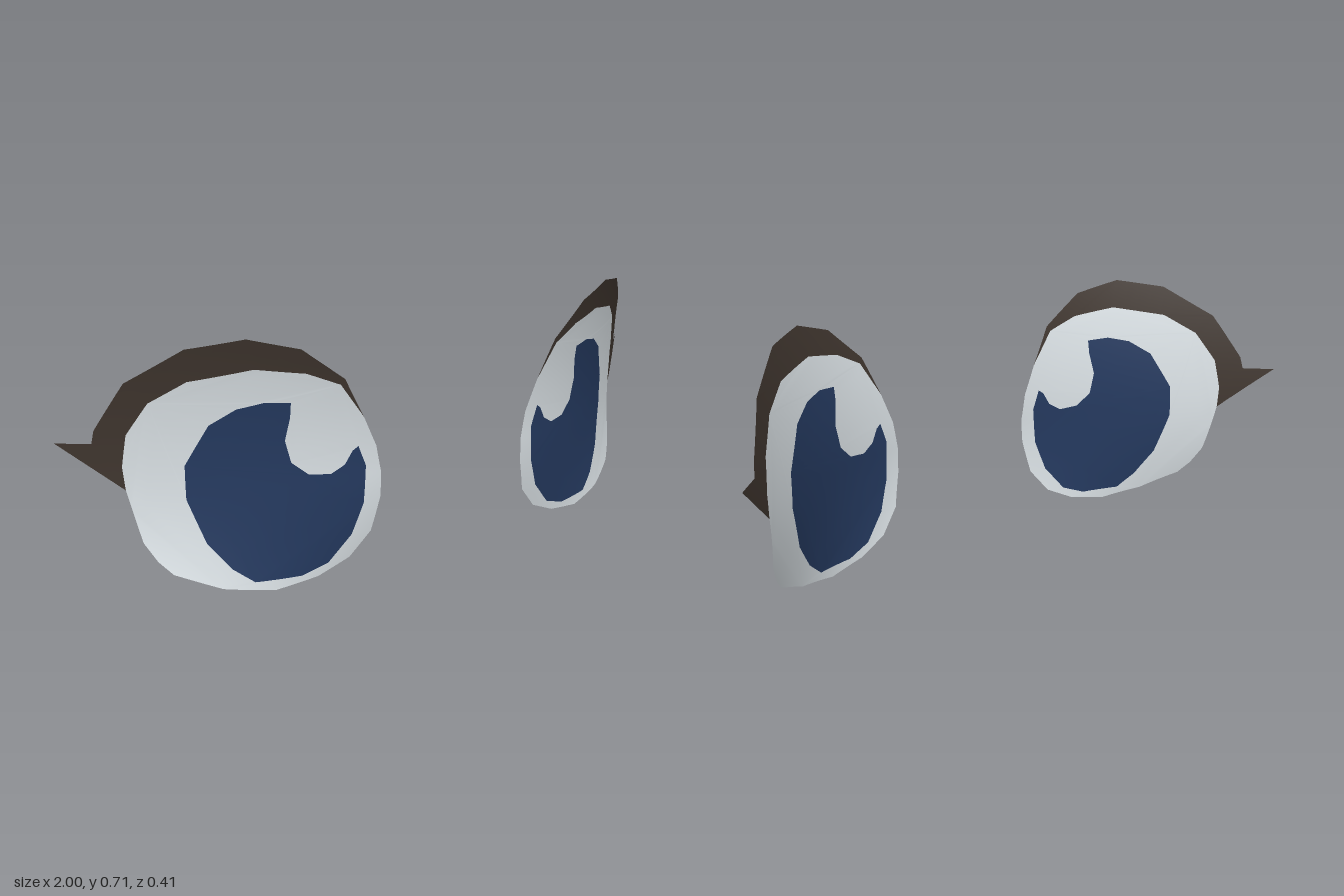
import * as THREE from 'three';
import { mergeVertices } from 'three/addons/utils/BufferGeometryUtils.js';

const mat = (name, color) => {
  const m = new THREE.MeshStandardMaterial({ color, side: THREE.DoubleSide });
  m.name = name;
  return m;
};

// Front outlines of the left eye as [x, y]
const whiteTop = [[0.30, 0.47], [0.37, 0.57], [0.46, 0.61], [0.585, 0.63], [0.73, 0.60],
  [0.81, 0.54], [0.855, 0.45], [0.865, 0.36], [0.86, 0.295]];
const whiteBottom = [[0.85, 0.24], [0.835, 0.15], [0.81, 0.10], [0.78, 0.065], [0.67, 0.02], [0.54, 0],
  [0.42, 0.02], [0.33, 0.06], [0.27, 0.13], [0.247, 0.23], [0.245, 0.30], [0.26, 0.38]];
const lashTop = [[1.0, 0.42], [0.925, 0.423], [0.92, 0.46], [0.86, 0.595], [0.74, 0.69],
  [0.61, 0.715], [0.48, 0.68], [0.36, 0.585]];
const irisEdge = [[0.493, 0.53], [0.557, 0.535], [0.62, 0.52], [0.68, 0.477], [0.733, 0.365],
  [0.733, 0.27], [0.696, 0.147], [0.643, 0.072], [0.59, 0.03], [0.467, 0.03], [0.392, 0.056],
  [0.328, 0.13], [0.296, 0.22], [0.29, 0.328], [0.312, 0.387], [0.328, 0.376], [0.349, 0.339],
  [0.387, 0.317], [0.445, 0.323], [0.488, 0.36], [0.504, 0.424], [0.493, 0.488]];

// Depth of the curved sheet: wraps back to the side, slightly dished at mid height
function depth(x, y) {
  const u = x - 0.245, v = (y - 0.3) ** 2;
  return 0.195 - 0.125 * u - 0.553 * u * u + v * (y > 0.3 ? 0.36 : 2 * (x - 0.5));
}

// Fill an outline, divide its triangles and bend them onto the sheet
function bentSheet(outline, hole, side) {
  const toPoints = list => list.map(p => new THREE.Vector2(...p));
  const shape = new THREE.Shape(toPoints(outline));
  if (hole) shape.holes.push(new THREE.Path(toPoints(hole)));
  const flat = new THREE.ShapeGeometry(shape).toNonIndexed().getAttribute('position');
  const out = [];
  const split = (a, b, c, level) => {
    if (level === 0) {
      for (const p of side > 0 ? [a, b, c] : [a, c, b]) out.push(side * p.x, p.y, depth(p.x, p.y));
      return;
    }
    const ab = a.clone().lerp(b, 0.5), bc = b.clone().lerp(c, 0.5), ca = c.clone().lerp(a, 0.5);
    split(a, ab, ca, level - 1);
    split(ab, b, bc, level - 1);
    split(ca, bc, c, level - 1);
    split(ab, bc, ca, level - 1);
  };
  const corner = i => new THREE.Vector2(flat.getX(i), flat.getY(i));
  for (let i = 0; i < flat.count; i += 3) split(corner(i), corner(i + 1), corner(i + 2), 3);
  const geo = new THREE.BufferGeometry();
  geo.setAttribute('position', new THREE.Float32BufferAttribute(out, 3));
  const merged = mergeVertices(geo, 1e-5);
  merged.computeVertexNormals();
  return merged;
}

export function createModel() {
  const model = new THREE.Group();
  model.name = 'eyes';
  const white = mat('eyeWhite', 0xdde4e8);
  const navy = mat('irisNavy', 0x253a60);
  const brown = mat('lashBrown', 0x40362f);

  for (const side of [1, -1]) {
    const eye = new THREE.Group();
    eye.name = side > 0 ? 'leftEye' : 'rightEye';
    const add = (name, outline, hole, material) => {
      const mesh = new THREE.Mesh(bentSheet(outline, hole, side), material);
      mesh.name = name;
      eye.add(mesh);
    };
    // White with the iris cut out; the notch in the iris is the highlight
    add('eyeball', [...whiteTop, ...whiteBottom], irisEdge, white);
    add('iris', irisEdge, null, navy);
    // Upper lash with its pointed outer wing
    add('upperLash', [...whiteTop, ...lashTop], null, brown);
    model.add(eye);
  }
  return model;
}
